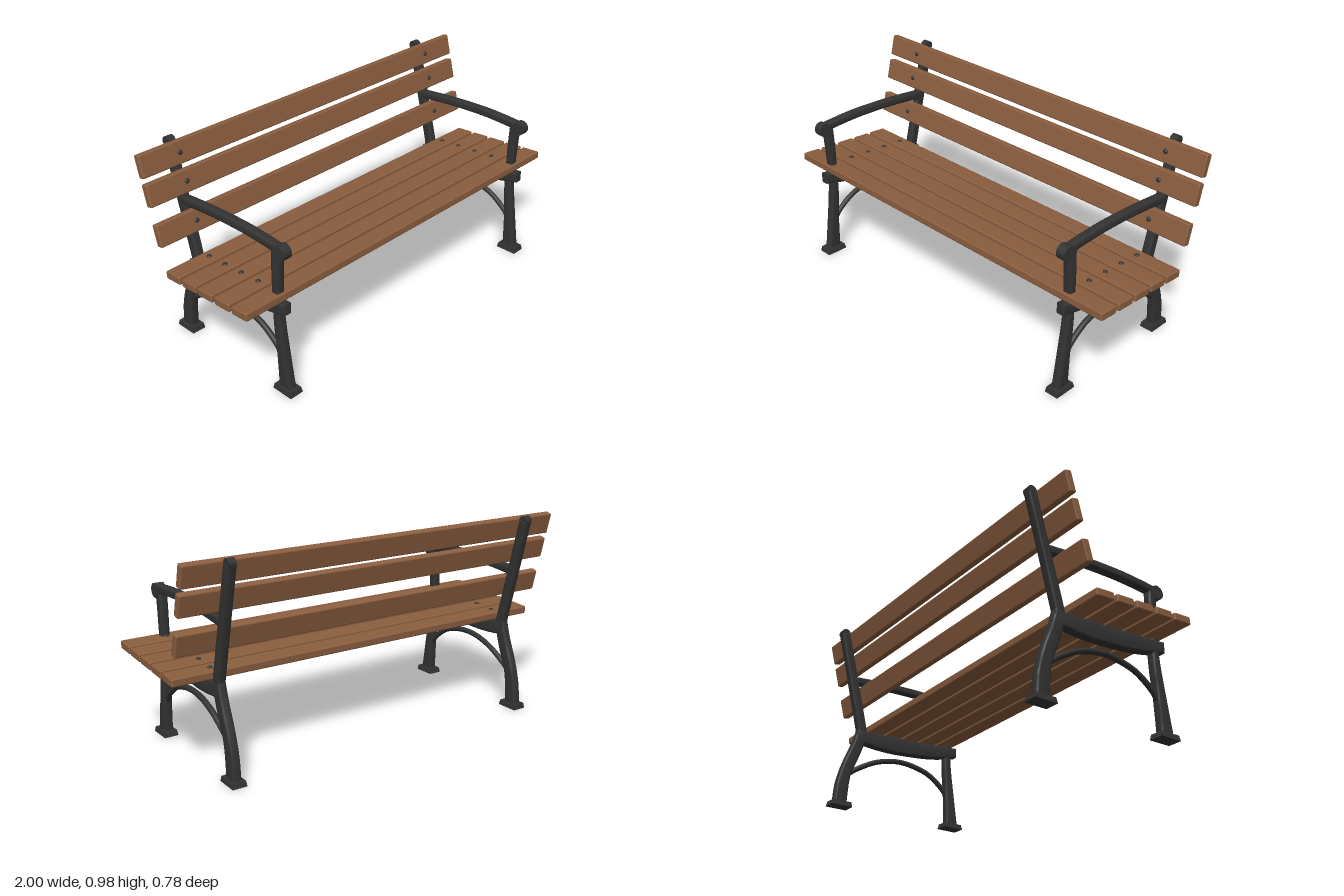
import * as THREE from 'three';
import { toCreasedNormals } from 'three/addons/utils/BufferGeometryUtils.js';
import { RoundedBoxGeometry } from 'three/addons/geometries/RoundedBoxGeometry.js';

const wood = new THREE.MeshStandardMaterial({ color: 0x8b5e3f });
wood.name = 'brown wood';
const iron = new THREE.MeshStandardMaterial({ color: 0x333333 });
iron.name = 'dark iron';

function add(parent, name, geometry, material) {
  const mesh = new THREE.Mesh(geometry, material);
  mesh.name = name;
  parent.add(mesh);
  return mesh;
}

const spline = (pts) =>
  new THREE.SplineCurve(pts.map((p) => new THREE.Vector2(...p))).getPoints(16);

// Cast bar with rounded edges, bounded by two side edges given as [z, y]
function castBar(parent, name, edgeA, edgeB, width) {
  const bevel = 0.009;
  const shape = new THREE.Shape([...spline(edgeA), ...spline(edgeB).reverse()]);
  const geometry = new THREE.ExtrudeGeometry(shape, {
    depth: width - 2 * bevel, bevelEnabled: true, bevelSize: bevel,
    bevelThickness: bevel, bevelOffset: -bevel, bevelSegments: 3,
  });
  geometry.translate(0, 0, bevel - width / 2);
  geometry.rotateY(-Math.PI / 2);
  return add(parent, name, toCreasedNormals(geometry, 0.7), iron);
}

function sideFrame(x) {
  const frame = new THREE.Group();
  frame.name = 'sideFrame';
  frame.position.x = x;

  // Legs
  castBar(frame, 'frontLeg',
    [[0.37, 0.015], [0.346, 0.177], [0.326, 0.32], [0.316, 0.43]],
    [[0.3, 0.015], [0.294, 0.19], [0.283, 0.32], [0.281, 0.43]], 0.042);
  castBar(frame, 'rearLeg',
    [[-0.302, 0.015], [-0.289, 0.164], [-0.25, 0.268], [-0.219, 0.36], [-0.213, 0.43]],
    [[-0.37, 0.015], [-0.36, 0.125], [-0.328, 0.237], [-0.284, 0.346], [-0.258, 0.43]], 0.042);

  // Flared feet
  for (const z of [0.334, -0.334]) {
    const foot = new THREE.CylinderGeometry(0.9 * Math.SQRT1_2, Math.SQRT1_2, 0.025, 4, 1)
      .rotateY(Math.PI / 4).scale(0.07, 1, 0.112).toNonIndexed();
    foot.computeVertexNormals();
    add(frame, 'foot', foot, iron).position.set(0, 0.0125, z);
  }

  // Seat rail
  castBar(frame, 'seatRail',
    [[0.355, 0.46], [0.2, 0.448], [0, 0.437], [-0.25, 0.425]],
    [[0.355, 0.407], [0.2, 0.372], [0.0, 0.352], [-0.13, 0.351], [-0.235, 0.36]], 0.045);

  // Back post with a round top
  castBar(frame, 'backPost',
    [[-0.342, 0.966], [-0.213, 0.45], [-0.207, 0.41]],
    [[-0.388, 0.954], [-0.258, 0.43], [-0.258, 0.41]], 0.042);
  add(frame, 'postCap', new THREE.CylinderGeometry(0.0238, 0.0238, 0.036, 24)
    .rotateZ(Math.PI / 2), iron).position.set(0, 0.96, -0.365);

  // Arm support, arm and its scroll end
  castBar(frame, 'armSupport',
    [[0.317, 0.43], [0.319, 0.5], [0.324, 0.6], [0.331, 0.7]],
    [[0.279, 0.43], [0.281, 0.5], [0.282, 0.6], [0.287, 0.71]], 0.042);
  castBar(frame, 'armRest',
    [[0.335, 0.732], [0.17, 0.743], [0.03, 0.743], [-0.14, 0.735], [-0.3, 0.721]],
    [[0.335, 0.69], [0.25, 0.699], [0.1, 0.705], [-0.1, 0.699], [-0.3, 0.681]], 0.042);
  add(frame, 'armScroll', new THREE.CylinderGeometry(0.034, 0.034, 0.044, 28)
    .rotateZ(Math.PI / 2), iron).position.set(0, 0.703, 0.336);

  // Arched brace between the legs
  const arch = new THREE.CatmullRomCurve3(
    [[0.305, 0.18], [0.28, 0.212], [0.19, 0.276], [0.1, 0.302], [0.022, 0.31],
      [-0.06, 0.301], [-0.15, 0.272], [-0.24, 0.222], [-0.3, 0.18]]
      .map(([z, y]) => new THREE.Vector3(0, y, z)));
  add(frame, 'archBrace', new THREE.TubeGeometry(arch, 40, 0.0135, 12), iron);
  return frame;
}

// Wooden slat with a domed bolt over each side frame
function slat(name, y, z, tilt, height, depth, boltOnFront) {
  const group = new THREE.Group();
  group.name = name;
  group.position.set(0, y, z);
  group.rotation.x = tilt;
  add(group, name + 'Board', new RoundedBoxGeometry(2, height, depth, 2, 0.007), wood);
  for (const x of [-0.8, 0.8]) {
    const bolt = add(group, 'bolt', new THREE.SphereGeometry(0.012, 14, 6, 0, Math.PI * 2, 0, Math.PI / 2), iron);
    bolt.scale.y = 0.75;
    if (boltOnFront) {
      bolt.rotation.x = Math.PI / 2;
      bolt.position.set(x, 0, depth / 2 - 0.001);
    } else {
      bolt.position.set(x, height / 2 - 0.001, 0);
    }
  }
  return group;
}

export function createModel() {
  const bench = new THREE.Group();
  bench.name = 'bench';
  for (const x of [-0.8, 0.8]) bench.add(sideFrame(x));

  // Seat slats, sloping down to the rear
  for (let i = 0; i < 5; i++) {
    bench.add(slat('seatSlat', 0.477 - 0.007 * i, 0.285 - 0.109 * i, -0.064, 0.038, 0.094, false));
  }
  // Back slats, leaning with the posts
  for (const [y, z] of [[0.924, -0.3125], [0.798, -0.28], [0.621, -0.235]]) {
    bench.add(slat('backSlat', y, z, -0.245, 0.104, 0.036, true));
  }
  return bench;
}
